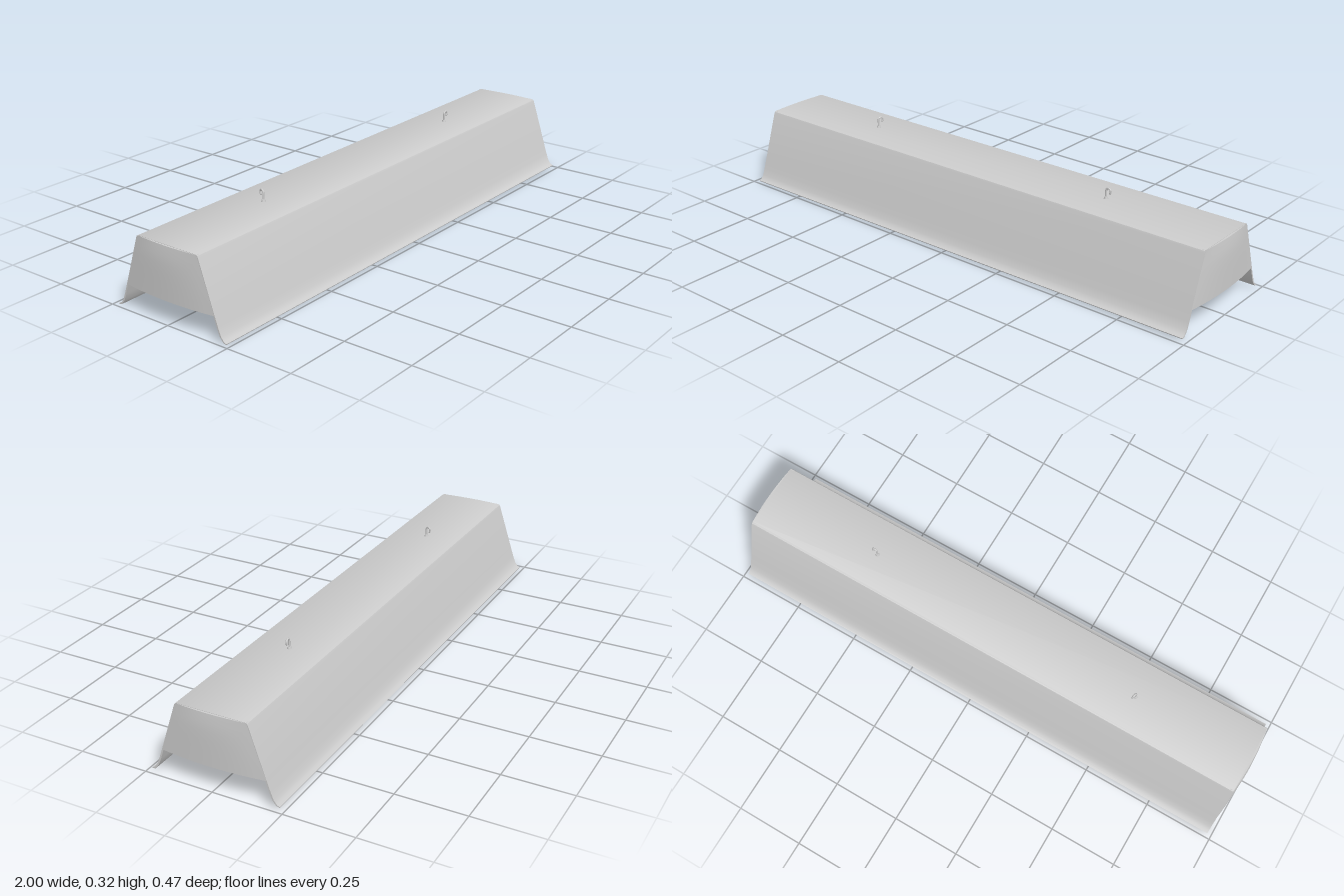
import * as THREE from 'three';
import { toCreasedNormals } from 'three/addons/utils/BufferGeometryUtils.js';

const grey = new THREE.MeshStandardMaterial({ color: 0xcccccc, side: THREE.DoubleSide });

function add(parent, geometry, name) {
  const mesh = new THREE.Mesh(geometry, grey);
  mesh.name = name;
  parent.add(mesh);
  return mesh;
}

// Trapezoid hood with flared skirts, an open underside and an inner ceiling
function hoodGeometry() {
  const outer = [[0.234, 0.008], [0.224, 0.012], [0.213, 0.026], [0.203, 0.052], [0.19, 0.09],
    [0.132, 0.264], [0.129, 0.27], [0.122, 0.273]];
  const inner = [[0.157, 0.172], [0.184, 0.09], [0.197, 0.051], [0.208, 0.024], [0.221, 0.008], [0.233, 0.005]];
  const mirror = (pts) => pts.map(([a, b]) => [-a, b]).reverse();
  const outline = [...outer, ...mirror(outer), ...mirror(inner), ...inner];
  const shape = new THREE.Shape(outline.map(([a, b]) => new THREE.Vector2(a, b)));
  const geo = new THREE.ExtrudeGeometry(shape, { depth: 1.97, steps: 1, bevelEnabled: false });
  geo.translate(0, 0, -0.985);
  geo.rotateY(Math.PI / 2);
  return toCreasedNormals(geo, 0.6);
}

// End plate bowed gently outward
function endGeometry() {
  const geo = new THREE.BoxGeometry(1, 1, 1, 1, 6, 12);
  const p = geo.attributes.position;
  for (let i = 0; i < p.count; i++) {
    const v = p.getY(i) + 0.5, w = p.getZ(i) * 2;
    const bow = 0.014 * (1 - w * w) * (1 - 0.5 * v ** 6);
    const x = p.getX(i) > 0 ? 0.985 + bow : 0.972;
    p.setXYZ(i, x, 0.088 + 0.184 * v, w * (0.189 - 0.063 * v));
  }
  geo.computeVertexNormals();
  return toCreasedNormals(geo, 0.6);
}

// Round lamp holder with a raised rim, a recess and a centre boss
function socketGeometry() {
  const profile = [[0, 0], [0.035, 0], [0.035, 0.028], [0.031, 0.032], [0.026, 0.03],
    [0.024, 0.016], [0.012, 0.016], [0.011, 0.028], [0, 0.028]];
  const geo = new THREE.LatheGeometry(profile.map(([r, h]) => new THREE.Vector2(r, h)), 20);
  geo.rotateZ(Math.PI / 2);
  return toCreasedNormals(geo, 0.6);
}

// Hanging hook with a threaded collar at its foot
function hook(x, yaw) {
  const group = new THREE.Group();
  group.name = 'hangingHook';
  const pts = [[0, 0], [0, 0.015], [0, 0.03]];
  for (let i = 1; i <= 6; i++) {
    const a = Math.PI * (1 - i / 6);
    pts.push([0.009 + 0.009 * Math.cos(a), 0.03 + 0.009 * Math.sin(a)]);
  }
  pts.push([0.016, 0.021]);
  const path = new THREE.CatmullRomCurve3(pts.map(([a, b]) => new THREE.Vector3(a, b, 0)));
  add(group, new THREE.TubeGeometry(path, 28, 0.0035, 8), 'hookWire');
  add(group, new THREE.SphereGeometry(0.0035, 8, 6), 'hookTip').position.set(0.016, 0.021, 0);
  add(group, new THREE.CylinderGeometry(0.006, 0.008, 0.008, 12), 'hookCollar').position.y = 0.003;
  group.position.set(x, 0.273, -0.002);
  group.rotation.y = yaw;
  return group;
}

export function createModel() {
  const model = new THREE.Group();
  model.name = 'lampHood';
  const body = new THREE.Group();
  body.name = 'body';
  body.rotation.z = 0.004; // hangs very slightly out of level
  model.add(body);

  add(body, hoodGeometry(), 'hood');

  // End plates, each carrying three lamp holders on the inside
  const endPlate = endGeometry(), socket = socketGeometry();
  for (const turn of [0, Math.PI]) {
    const end = new THREE.Group();
    end.name = turn ? 'rightEnd' : 'leftEnd';
    end.rotation.y = turn;
    add(end, endPlate, 'endPlate');
    for (const z of [-0.12, 0, 0.12]) add(end, socket, 'lampSocket').position.set(0.975, 0.122, z);
    body.add(end);
  }

  body.add(hook(0.522, 0), hook(-0.538, Math.PI / 2 - 0.3));
  return model;
}
